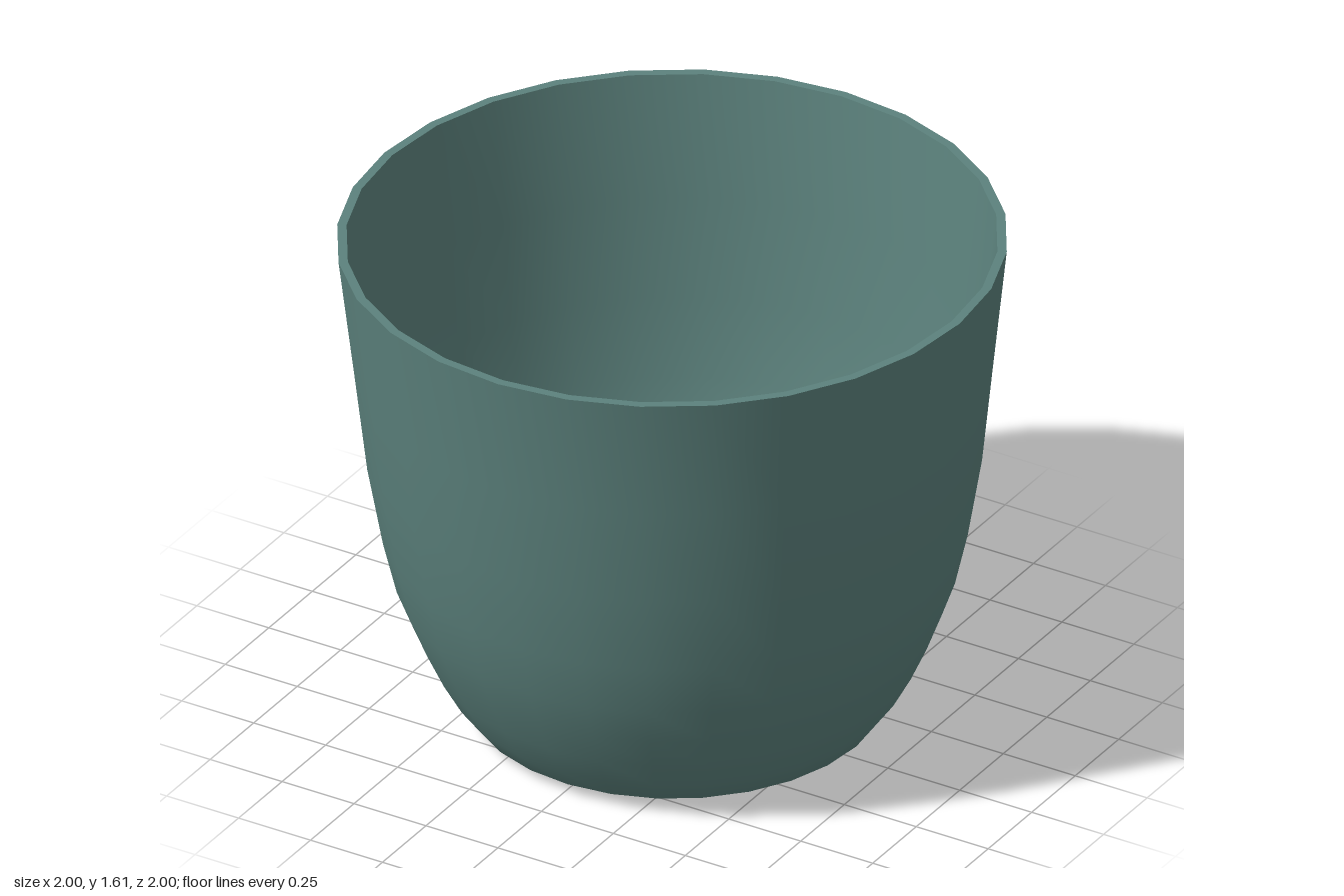
import * as THREE from 'three';
import { toCreasedNormals } from 'three/addons/utils/BufferGeometryUtils.js';

const SIDES = 28;
const RIM = 1.6;

// The whole pot leans very slightly about its rim centre
function lean(geometry) {
  const p = geometry.attributes.position;
  for (let i = 0; i < p.count; i++) {
    const x = p.getX(i), y = p.getY(i);
    p.setXY(i, x + 0.01 * (RIM - y), y + 0.01 * x);
  }
  return toCreasedNormals(geometry, 0.7);
}

function lathe(points, sides = SIDES) {
  return new THREE.LatheGeometry(points.map(([r, y]) => new THREE.Vector2(r, y)), sides);
}

export function createModel() {
  const group = new THREE.Group();
  group.name = 'flowerPot';
  const glaze = new THREE.MeshStandardMaterial({ color: 0x5c827d });
  glaze.name = 'grey green';

  function add(name, geometry) {
    const mesh = new THREE.Mesh(lean(geometry), glaze);
    mesh.name = name;
    group.add(mesh);
  }

  // Wall: under the foot, up the outside, over the rim, down the inside
  add('wall', lathe([
    [0.57, 0.02], [0.6, 0.02], [0.625, 0.035], [0.68, 0.11], [0.735, 0.21], [0.785, 0.32],
    [0.835, 0.45], [0.875, 0.62], [0.92, 0.88], [0.955, 1.2], [1, RIM],
    [0.972, RIM], [0.925, 1.2], [0.89, 0.88], [0.845, 0.63], [0.8, 0.46],
    [0.75, 0.34], [0.69, 0.22], [0.63, 0.13], [0.58, 0.075], [0.54, 0.055],
  ]));

  // Floor ring pierced by five drain holes
  const holes = [];
  for (let k = 0; k < 5; k++) {
    const a = (21 + 72 * k) * Math.PI / 180;
    holes.push([0.49 * Math.cos(a), 0.49 * Math.sin(a)]);
  }
  const ring = new THREE.Shape().absarc(0, 0, 0.59, 0, Math.PI * 2);
  ring.holes.push(new THREE.Path().absarc(0, 0, 0.41, 0, Math.PI * 2, true));
  for (const [x, z] of holes) {
    const points = [];
    for (let i = 0; i < 8; i++) {
      const a = -i * Math.PI / 4;
      points.push(new THREE.Vector2(x + 0.033 * Math.cos(a), z + 0.033 * Math.sin(a)));
    }
    ring.holes.push(new THREE.Path(points));
  }
  const floor = new THREE.ExtrudeGeometry(ring, { depth: 0.035, bevelEnabled: false, curveSegments: SIDES });
  floor.rotateX(Math.PI / 2).translate(0, 0.057, 0);
  add('floorRing', floor);

  // Raised centre, hollow underneath
  add('raisedCentre', lathe([
    [0, 0.085], [0.29, 0.08], [0.37, 0.06], [0.43, 0.022],
    [0.43, 0.057], [0.37, 0.08], [0.3, 0.115], [0, 0.12],
  ]));

  // Small lips under the drain holes
  for (const [x, z] of holes) {
    const lip = lathe([[0.036, 0.005], [0.042, 0.005], [0.06, 0.025], [0.036, 0.025], [0.036, 0.005]], 8);
    add('drainLip', lip.translate(x, 0, z));
  }
  return group;
}
